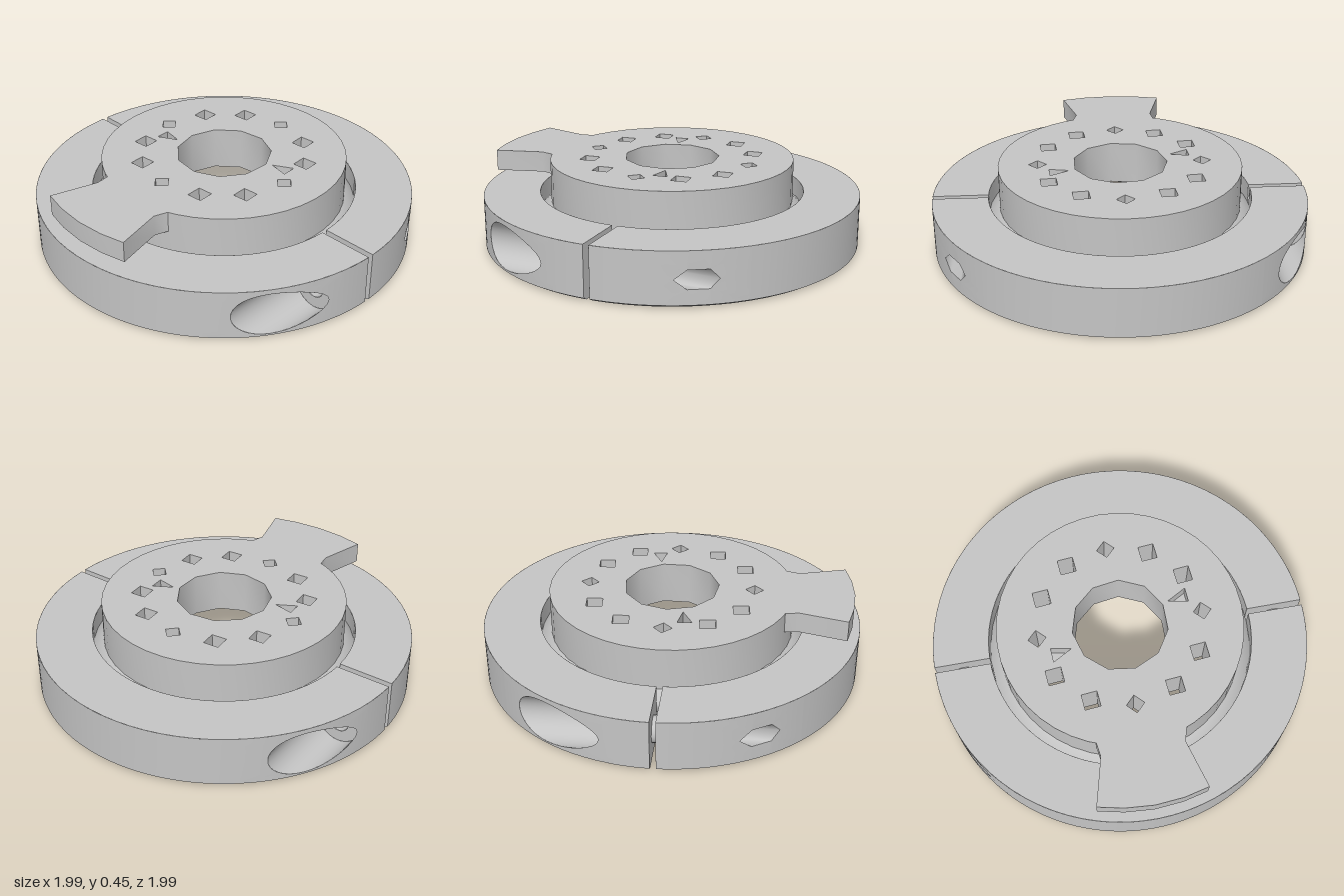
import * as THREE from 'three';
import { toCreasedNormals } from 'three/addons/utils/BufferGeometryUtils.js';

const grey = new THREE.MeshStandardMaterial({ color: 0xc4c4c4, side: THREE.DoubleSide });
grey.name = 'machinedGrey';

const R = 0.995, RI = 0.7, H = 0.28, CH = 0.015; // ring radii, height, bottom chamfer
const BZ = 0.85, BY = 0.14, BORE = 0.055, HEAD = 0.115; // bolt axis and bore radii
const BASE = 0.22; // underside of the hub disc
const D = Math.PI / 180, TAU = Math.PI * 2;

function add(parent, name, geometry) {
  const m = new THREE.Mesh(geometry, grey);
  m.name = name;
  parent.add(m);
  return m;
}

// surface from a rule fn(u, v) -> [x, y, z]
function grid(fn, nu, nv) {
  const pos = [], idx = [];
  for (let j = 0; j <= nv; j++) for (let i = 0; i <= nu; i++) pos.push(...fn(i / nu, j / nv));
  for (let j = 0; j < nv; j++) for (let i = 0; i < nu; i++) {
    const a = j * (nu + 1) + i, b = a + nu + 1;
    idx.push(a, b, a + 1, a + 1, b, b + 1);
  }
  const g = new THREE.BufferGeometry();
  g.setAttribute('position', new THREE.Float32BufferAttribute(pos, 3));
  g.setIndex(idx);
  g.computeVertexNormals();
  return g;
}

const lerp = THREE.MathUtils.lerp;
const polar = (r, a, y) => [r * Math.cos(a), y, r * Math.sin(a)];
const plan = (r, a) => new THREE.Vector2(r * Math.cos(a), -r * Math.sin(a));
const band = (r0, y0, r1, y1, a0, a1) =>
  grid((u, v) => polar(lerp(r0, r1, v), lerp(a0, a1, u), lerp(y0, y1, v)), 32, 1);

function circlePath(r, n, cx = 0, cy = 0, turn = 0) {
  const pts = [];
  for (let i = 0; i < n; i++) {
    const a = turn + i / n * TAU;
    pts.push(new THREE.Vector2(cx + r * Math.cos(a), cy + r * Math.sin(a)));
  }
  return pts;
}

// flat annular sector lying at height y, optionally with holes
function sector(r0, r1, y, startX, holes = []) {
  const pts = [], n = 40;
  const ring = (r, k) => plan(r, lerp(-Math.PI / 2, Math.acos(startX / r), k / n));
  for (let i = 0; i <= n; i++) pts.push(ring(r1, i));
  for (let i = n; i >= 0; i--) pts.push(ring(r0, i));
  const s = new THREE.Shape(pts);
  s.holes = holes.map(h => new THREE.Path(h));
  return new THREE.ShapeGeometry(s).rotateX(-Math.PI / 2).translate(0, y, 0);
}

function plate(shape, y0, y1) {
  const g = new THREE.ExtrudeGeometry(shape, { depth: y1 - y0, bevelEnabled: false });
  return toCreasedNormals(g.rotateX(-Math.PI / 2).translate(0, y0, 0), 0.65);
}

// point where a bore along x breaks the outer wall, as [angle, y]
function mouth(r, side, t) {
  return [side * Math.asin((BZ + r * Math.cos(t)) / R), BY + r * Math.sin(t)];
}

// outer wall panel with a bore mouth in it
function borePanel(r, side, a0, a1, n) {
  const ac = side * Math.asin(BZ / R);
  return grid((u, v) => {
    const t = u * TAU, tn = Math.round(t / TAU * n) / n * TAU;
    const [ha, hy] = mouth(r, side, tn);
    const c = Math.cos(t), s = Math.sin(t), m = Math.max(Math.abs(c), Math.abs(s));
    const sa = c / m * side, sy = s / m;
    const ra = ac + (sa > 0 ? a1 - ac : ac - a0) * sa;
    const ry = BY + (sy > 0 ? H - BY : BY - CH) * sy;
    return polar(R, lerp(ha, ra, v), lerp(hy, ry, v));
  }, 48, 5);
}

// bore wall from the outer surface in to a flat at x = xIn
function boreWall(r, side, xIn, n) {
  return grid((u, v) => {
    const [a, y] = mouth(r, side, u * TAU);
    const p = polar(R, a, y);
    return [lerp(p[0], xIn, v), y, p[2]];
  }, n, 1);
}

function clampHalf() {
  const g = new THREE.Group();
  g.name = 'clampHalf';
  const startX = 0.03, back = -Math.PI / 2, front = Math.acos(startX / R);

  // skewed lightening pockets in the underside
  const pockets = [-43, -23, -3, 17, 37, 57].map(d => d * D);
  const corners = (a, k) => [[0.76, -9], [0.93, -6], [0.93, 9], [0.76, 3]]
    .map(([r, d]) => [0.845 + (r - 0.845) * k, a + d * D * k]);
  add(g, 'ringTop', sector(RI, R, H, startX));
  add(g, 'ringUnderside', sector(RI, R - 0.025, 0, startX,
    pockets.map(a => corners(a, 1).map(([r, t]) => plan(r, t)))));
  pockets.forEach((a, i) => {
    const depth = i === 5 ? 0.075 : 0.2;
    const lo = corners(a, 1), hi = corners(a, 0.85);
    lo.forEach((c, k) => {
      const k2 = (k + 1) % 4;
      add(g, 'pocketWall', grid((u, v) => {
        const p = polar(...c, 0), q = polar(...lo[k2], 0);
        const s = polar(...hi[k], depth), t = polar(...hi[k2], depth);
        return p.map((_, n) => lerp(lerp(p[n], q[n], u), lerp(s[n], t[n], u), v));
      }, 1, 1));
    });
    add(g, 'pocketRoof', new THREE.ShapeGeometry(new THREE.Shape(hi.map(([r, t]) => plan(r, t))))
      .rotateX(-Math.PI / 2).translate(0, depth, 0));
  });

  // walls: plain panels between two panels pierced by the bolt bores
  add(g, 'innerWall', band(RI, 0, RI, H, back, Math.acos(startX / RI)));
  add(g, 'bottomChamfer', band(R - 0.025, 0, R, CH, back, front));
  add(g, 'outerWallEnd', band(R, CH, R, H, back, -80 * D));
  add(g, 'outerWallHead', borePanel(HEAD, -1, -80 * D, -40 * D, 48));
  add(g, 'outerWall', band(R, CH, R, H, -40 * D, 45 * D));
  add(g, 'outerWallExit', borePanel(BORE, 1, 45 * D, 72 * D, 6));
  add(g, 'outerWallEnd', band(R, CH, R, H, 72 * D, front));

  // counterbore, its floor, and the bores
  add(g, 'counterbore', boreWall(HEAD, -1, 0.22, 32));
  add(g, 'boltHead', new THREE.RingGeometry(BORE, HEAD, 24, 1)
    .rotateY(Math.PI / 2).translate(0.22, BY, -BZ));
  add(g, 'exitBore', boreWall(BORE, 1, startX, 6));
  const tube = (r, x0, x1, n) => new THREE.CylinderGeometry(r, r, x1 - x0, n, 1, true)
    .rotateZ(Math.PI / 2).translate((x0 + x1) / 2, BY, -BZ);
  add(g, 'boltBore', tube(BORE, -0.03, 0.22, 12));
  add(g, 'boltShank', tube(0.067, -0.03, 0, 20));

  // split faces with the bolt hole
  for (const [x, z] of [[startX, BZ], [0, -BZ]]) {
    const s = new THREE.Shape([[-0.15, 0], [0.12, 0], [0.145, CH], [0.145, H], [-0.15, H]]
      .map(([a, b]) => new THREE.Vector2(a * -Math.sign(z), b)));
    s.holes.push(new THREE.Path(circlePath(BORE, 12, 0, BY)));
    add(g, 'splitFace', new THREE.ShapeGeometry(s).rotateY(Math.PI / 2).translate(x, 0, z));
  }
  return g;
}

function hub() {
  const g = new THREE.Group();
  g.name = 'hub';

  // drilled disc; two triangular recesses are closed off below by plugs
  const disc = new THREE.Shape(circlePath(0.643, 44));
  disc.holes.push(new THREE.Path(circlePath(0.25, 11, 0, 0, Math.PI / 2)));
  for (let i = 0; i < 12; i++) {
    const c = plan(0.435, i * 30 * D), onAxis = i % 3 === 0;
    disc.holes.push(new THREE.Path(circlePath(onAxis ? 0.047 : 0.058, 4, c.x, c.y, onAxis ? 0 : 50 * D)));
  }
  for (const k of [1, -1]) {
    const tri = [[-0.14, 0.37], [-0.065, 0.375], [-0.085, 0.27]]
      .map(([x, y]) => new THREE.Vector2(x * k, y * k));
    disc.holes.push(new THREE.Path(tri));
    add(g, 'recessPlug', plate(new THREE.Shape(tri), BASE, 0.38));
  }
  add(g, 'disc', plate(disc, BASE, 0.45));

  // clamped flange under the disc, with eight tapered teeth
  add(g, 'flange', new THREE.LatheGeometry([[0.64, 0.23], [RI, 0.18], [RI, 0.13], [0.64, 0.11],
    [0.57, 0.16], [0.53, BASE]].map(p => new THREE.Vector2(...p)), 40));
  for (let i = 0; i < 8; i++) {
    const tooth = new THREE.CylinderGeometry(0.2, 0.15, 0.11, 4).rotateY(Math.PI / 4).toNonIndexed();
    tooth.scale(0.55, 1, 1).translate(0.585, 0.135, 0).computeVertexNormals();
    add(g, 'tooth', tooth).rotation.y = -(i * 45 + 5) * D;
  }

  // index tab reaching over the ring
  const tab = new THREE.Shape([[-0.54, 0.26], [-0.6, 0.23], [-0.67, 0.22], [-0.915, 0.285], [-0.945, 0.15],
    [-0.957, 0], [-0.945, -0.15], [-0.915, -0.28], [-0.67, -0.21], [-0.6, -0.23], [-0.54, -0.26]]
    .map(p => new THREE.Vector2(...p)));
  add(g, 'tab', plate(tab, 0.34, 0.45));
  return g;
}

export function createModel() {
  const model = new THREE.Group();
  model.name = 'splitClampRing';
  const left = clampHalf(), right = clampHalf();
  right.rotation.y = Math.PI;
  model.add(left, right, hub());
  return model;
}
